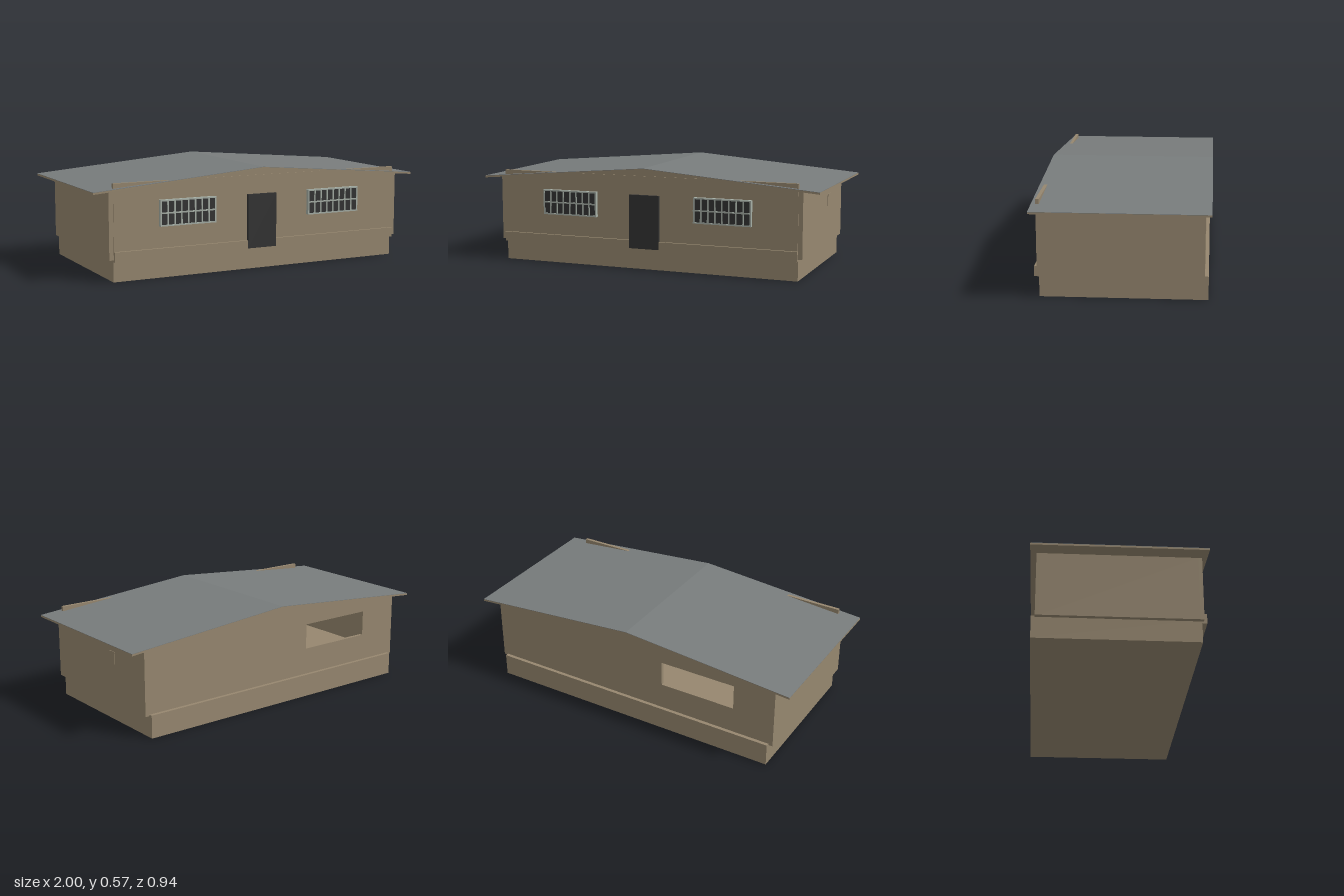
import * as THREE from 'three';

const mat = (name, color) => {
  const m = new THREE.MeshStandardMaterial({ color });
  m.name = name;
  return m;
};

export function createModel() {
  const house = new THREE.Group();
  house.name = 'house';
  const wall = mat('brown plaster', 0x96876f);
  const roofGrey = mat('grey roofing', 0x787c7c);
  const dark = mat('dark door and glass', 0x333333);
  const frameGrey = mat('pale window frame', 0xa6afa6);

  const add = (name, geo, m, parent = house) => {
    const mesh = new THREE.Mesh(geo, m);
    mesh.name = name;
    parent.add(mesh);
    return mesh;
  };
  // box given by its limits on each axis
  const box = (name, x0, x1, y0, y1, z0, z1, m, parent) => {
    const geo = new THREE.BoxGeometry(x1 - x0, y1 - y0, z1 - z0);
    geo.translate((x0 + x1) / 2, (y0 + y1) / 2, (z0 + z1) / 2);
    return add(name, geo, m, parent);
  };
  const poly = (pts) => new THREE.Shape(pts.map(([x, y]) => new THREE.Vector2(x, y)));
  // shape in the xy plane, extruded from z0 to z1
  const prism = (name, shape, z0, z1, m) => {
    const geo = new THREE.ExtrudeGeometry(shape, { depth: z1 - z0, bevelEnabled: false });
    geo.translate(0, 0, z0);
    return add(name, geo, m);
  };

  // foundation
  box('foundation', -0.88, 0.88, 0, 0.128, -0.457, 0.432, wall);

  // gable walls, the back one with an opening
  const gable = () => poly([[-0.905, 0.12], [0.905, 0.12], [0.905, 0.485], [0, 0.562], [-0.905, 0.485]]);
  prism('frontWall', gable(), 0.42, 0.44, wall);
  const back = gable();
  back.holes.push(poly([[-0.66, 0.28], [-0.66, 0.425], [-0.21, 0.425], [-0.21, 0.28]]));
  prism('backWall', back, -0.437, -0.417, wall);

  // side walls and floor
  for (const s of [-1, 1]) {
    const a = s * 0.905, b = s * 0.885;
    box('sideWall', Math.min(a, b), Math.max(a, b), 0.12, 0.485, -0.417, 0.42, wall);
  }
  box('floor', -0.885, 0.885, 0.12, 0.132, -0.417, 0.42, wall);

  // front facing whose upper corners rise through the roof, and its skirting
  box('frontFacing', -0.88, 0.88, 0.12, 0.528, 0.426, 0.444, wall);
  box('skirting', -0.88, 0.88, 0.11, 0.165, 0.43, 0.458, wall);

  // vent cover on the left wall
  box('ventCover', 0.9, 0.908, 0.335, 0.405, -0.154, -0.101, wall);

  // roof: brown deck below, thin grey covering above
  const slab = (lo, hi) => poly([
    [-1, 0.487 + lo], [0, 0.57 + lo], [1, 0.487 + lo],
    [1, 0.487 + hi], [0, 0.57 + hi], [-1, 0.487 + hi],
  ]);
  prism('roofDeck', slab(-0.008, 0.002), -0.47, 0.468, wall);
  prism('roofCovering', slab(0.002, 0.004), -0.47, 0.468, roofGrey);

  // door
  box('door', -0.089, 0.089, 0.12, 0.423, 0.435, 0.46, dark);

  // windows: backing frame, glass, border and glazing bars
  for (const cx of [-0.455, 0.46]) {
    const win = new THREE.Group();
    win.name = 'window';
    win.position.set(cx, 0, 0);
    house.add(win);
    const w = 0.166, y0 = 0.284, y1 = 0.427, t = 0.008;
    box('windowFrame', -w, w, y0, y1, 0.44, 0.457, frameGrey, win);
    box('glass', -w + 0.002, w - 0.002, y0 + 0.004, y1 - 0.004, 0.457, 0.463, dark, win);
    for (const y of [y0, (y0 + y1 - t) / 2, y1 - t]) {
      box('rail', -w, w, y, y + t, 0.457, 0.467, frameGrey, win);
    }
    const columns = 8;
    for (let i = 0; i <= columns; i++) {
      const x = -w + (i * (2 * w - t)) / columns;
      box('glazingBar', x, x + t, y0, y1, 0.457, 0.466, frameGrey, win);
    }
  }
  return house;
}
